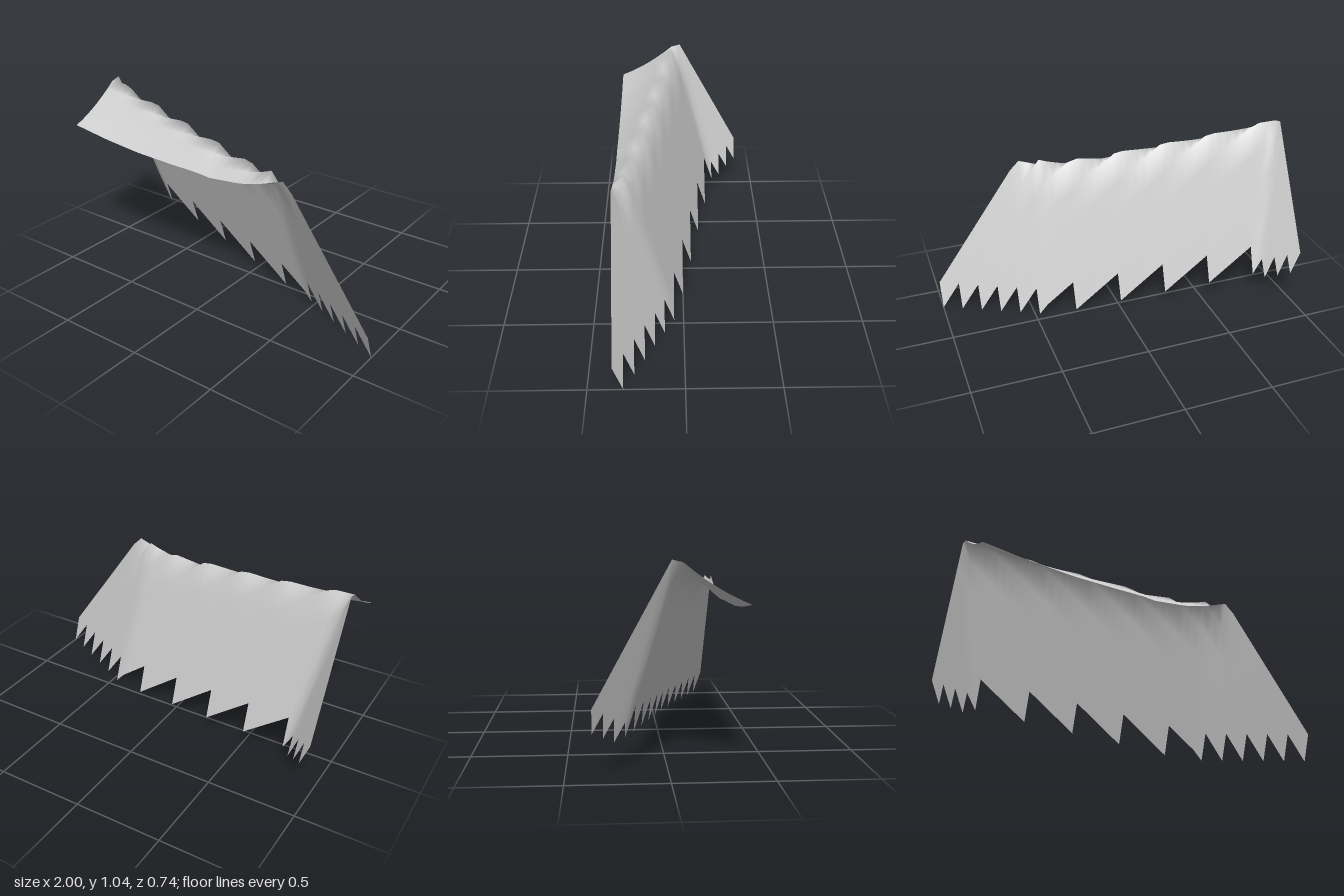
import * as THREE from 'three';

const CELL = 2 / 38;
const ROWS = 14;
const Z_FRONT = (ROWS * CELL) / 2;
// number of cells in each row, from the back to the front (stepped outline)
const ROW_CELLS = [1, 2, 3, 4, 9, 14, 19, 24, 28, 30, 32, 34, 36, 38];

// height of the plateau along the front edge: [x, y]
const FRONT_EDGE = [[-1, 0.835], [-0.75, 0.8], [-0.5, 0.777], [-0.25, 0.77], [-0.08, 0.768],
  [0, 0.76], [0.2, 0.78], [0.3, 0.802], [0.42, 0.845], [0.6, 0.91], [1, 1.05]];

function frontHeight(x) {
  let i = 0;
  while (i < FRONT_EDGE.length - 2 && x > FRONT_EDGE[i + 1][0]) i++;
  const [x0, y0] = FRONT_EDGE[i], [x1, y1] = FRONT_EDGE[i + 1];
  return y0 + ((y1 - y0) * (x - x0)) / (x1 - x0);
}

// plateau rising to a ridge, cut by three steep slopes
function height(x, z) {
  const d = Z_FRONT - z;
  const plateau = frontHeight(x) + (0.79 + 0.4 * x) * d + 0.7 * d * d;
  const left = 0.36 - 2.5 * (x + 1) + 1.85 * (z + Z_FRONT);
  const middle = 0.215 - 0.75 * x + 3.05 * z;
  const right = 0.15 - 1.4 * (x - 1) - 2.8 * d;
  const slope = Math.max(left, Math.min(middle, right));
  return Math.max(0, Math.min(plateau, slope));
}

export function createModel() {
  const group = new THREE.Group();
  group.name = 'terrainPatch';

  // one vertex per grid corner that the stepped outline uses
  const positions = [], indices = [], ids = new Map();
  const vertex = (i, k) => {
    const key = k * 100 + i;
    if (!ids.has(key)) {
      const x = -1 + i * CELL, z = -Z_FRONT + k * CELL;
      ids.set(key, positions.length / 3);
      positions.push(x, height(x, z), z);
    }
    return ids.get(key);
  };

  ROW_CELLS.forEach((count, k) => {
    for (let i = 0; i < count; i++) {
      const a = vertex(i, k), b = vertex(i + 1, k);
      const c = vertex(i, k + 1), d = vertex(i + 1, k + 1);
      indices.push(a, c, b, b, c, d);
    }
  });

  const geometry = new THREE.BufferGeometry();
  geometry.setAttribute('position', new THREE.Float32BufferAttribute(positions, 3));
  geometry.setIndex(indices);
  geometry.computeVertexNormals();

  const material = new THREE.MeshStandardMaterial({ color: 0xcccccc, side: THREE.DoubleSide });
  const cliff = new THREE.Mesh(geometry, material);
  cliff.name = 'cliffSurface';
  group.add(cliff);
  return group;
}
